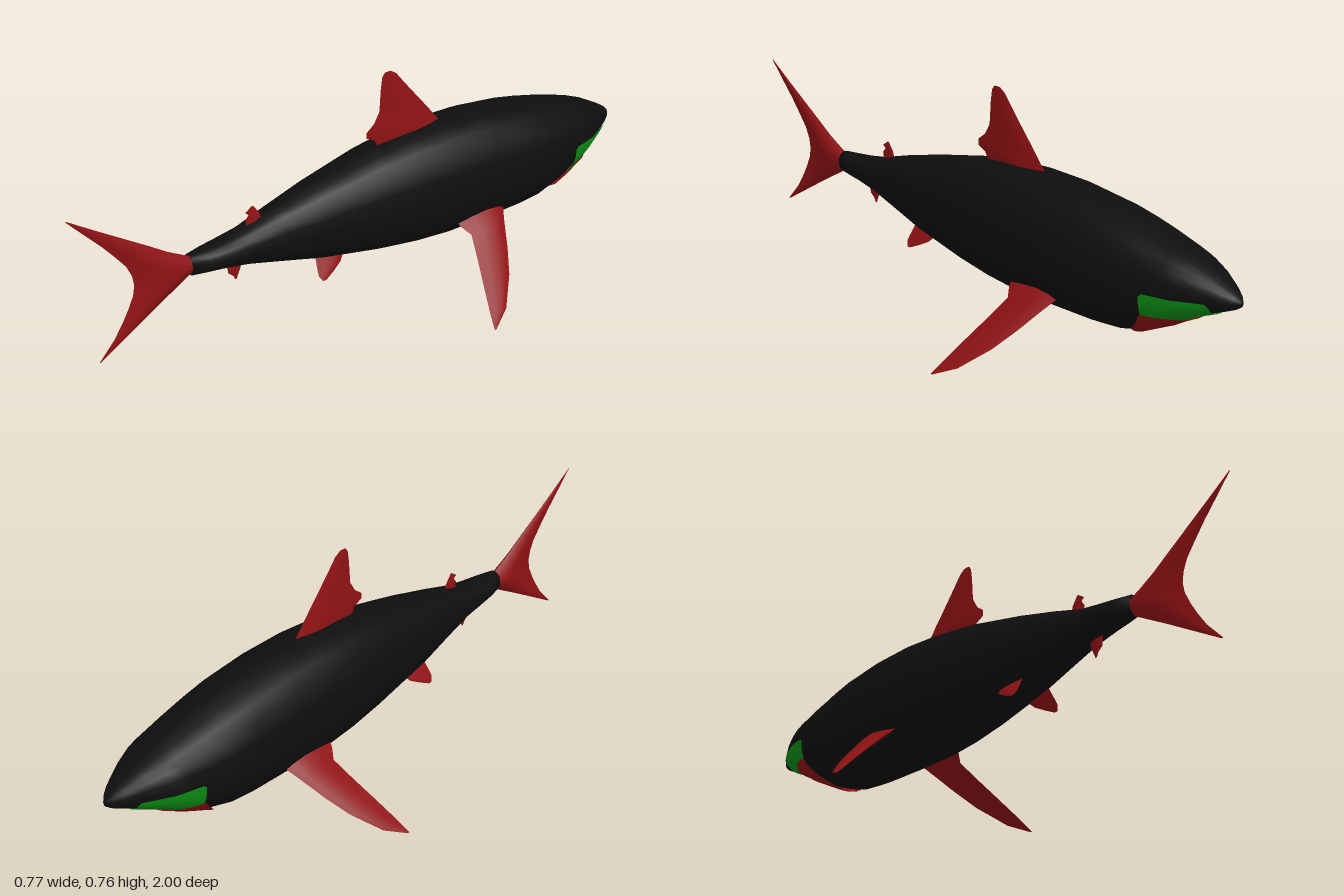
import * as THREE from 'three';
import { toCreasedNormals } from 'three/addons/utils/BufferGeometryUtils.js';

const flat = (name, color, side = THREE.FrontSide) => {
  const m = new THREE.MeshStandardMaterial({ color, side });
  m.name = name;
  return m;
};

// Closed skin over a list of equal rings of [x, y, z], capped at both ends
function loft(rings, crease) {
  const n = rings[0].length, pos = rings.flat(2), idx = [];
  const count = rings.length;
  for (const ring of [rings[0], rings[count - 1]]) {
    for (let a = 0; a < 3; a++) pos.push(ring.reduce((sum, p) => sum + p[a], 0) / n);
  }
  for (let j = 0; j < n; j++) {
    const k = (j + 1) % n;
    for (let i = 0; i < count - 1; i++) {
      const a = i * n + j, b = i * n + k;
      idx.push(a, b, b + n, a, b + n, a + n);
    }
    const end = (count - 1) * n;
    idx.push(count * n, k, j, count * n + 1, end + j, end + k);
  }
  // Signed volume decides the winding, so mirrored parts face outward too
  const v = i => new THREE.Vector3().fromArray(pos, i * 3);
  let volume = 0;
  for (let i = 0; i < idx.length; i += 3) volume += v(idx[i]).dot(v(idx[i + 1]).cross(v(idx[i + 2])));
  if (volume < 0) idx.reverse();
  const g = new THREE.BufferGeometry();
  g.setAttribute('position', new THREE.Float32BufferAttribute(pos, 3));
  g.setIndex(idx);
  if (crease) return toCreasedNormals(g, crease);
  g.computeVertexNormals();
  return g;
}

// Body stations: z, half width, top, bottom
const STATIONS = [
  [-0.999, 0.008, 0.364, 0.346], [-0.985, 0.024, 0.377, 0.336], [-0.96, 0.043, 0.393, 0.325],
  [-0.9, 0.077, 0.425, 0.3], [-0.84, 0.105, 0.448, 0.27], [-0.8, 0.116, 0.46, 0.245],
  [-0.7, 0.135, 0.488, 0.195], [-0.63, 0.144, 0.505, 0.174], [-0.55, 0.15, 0.521, 0.167],
  [-0.4, 0.151, 0.54, 0.163], [-0.25, 0.149, 0.544, 0.163], [-0.13, 0.14, 0.537, 0.172],
  [0, 0.125, 0.52, 0.19], [0.2, 0.099, 0.476, 0.23], [0.34, 0.073, 0.44, 0.267],
  [0.45, 0.055, 0.407, 0.297], [0.52, 0.051, 0.395, 0.312], [0.58, 0.042, 0.389, 0.318],
  [0.63, 0.026, 0.386, 0.32],
];
const POWER = 0.87;
const soft = v => Math.sign(v) * Math.abs(v) ** POWER;

// Width, centre height and half height of the body at any z
function section(z) {
  let i = 0;
  while (i < STATIONS.length - 2 && STATIONS[i + 1][0] < z) i++;
  const a = STATIONS[i], b = STATIONS[i + 1], t = (z - a[0]) / (b[0] - a[0]);
  const [w, top, bottom] = [1, 2, 3].map(k => a[k] + (b[k] - a[k]) * t);
  return { w, c: (top + bottom) / 2, h: (top - bottom) / 2 };
}

// Point on the body skin; angle 0 is the belly line
function skin(z, angle, lift = 0) {
  const { w, c, h } = section(z);
  return [(w + lift) * soft(Math.sin(angle)), c - (h + lift) * soft(Math.cos(angle)), z];
}

function bodyGeometry() {
  return loft(STATIONS.map(([z]) => Array.from({ length: 20 }, (_, j) => skin(z, j * Math.PI / 10))));
}

// Thin patch hugging the belly; rows give z and the height it climbs to
function patchGeometry(rows, lift) {
  const seg = 20, pos = [], idx = [];
  for (const [z, limit] of rows) {
    const { c, h } = section(z);
    const reach = Math.acos(Math.min(1, Math.max(0, (c - limit) / h)) ** (1 / POWER));
    for (let j = 0; j <= seg; j++) pos.push(...skin(z, reach * (2 * j / seg - 1), lift));
  }
  for (let i = 0; i < rows.length - 1; i++) {
    for (let j = 0; j < seg; j++) {
      const a = i * (seg + 1) + j, b = a + seg + 1;
      idx.push(a, a + 1, b + 1, a, b + 1, b);
    }
  }
  const g = new THREE.BufferGeometry();
  g.setAttribute('position', new THREE.Float32BufferAttribute(pos, 3));
  g.setIndex(idx);
  g.computeVertexNormals();
  return g;
}

// Lens-shaped fin; rows: span, leading z, trailing z, half thickness
const LENS = [[0, 0], [0.15, 0.65], [0.4, 1], [0.7, 0.6], [1, 0], [0.7, -0.6], [0.4, -1], [0.15, -0.65]];
function finGeometry(rows, place) {
  return loft(rows.map(([s, lead, trail, t]) =>
    LENS.map(([f, k]) => place(s, lead + (trail - lead) * f, t * k))), 0.7);
}
const upright = (s, z, t) => [t, s, z];
// Fin leaning outward and down from a root point, on either side
const slanted = (side, x, y, dx, dy) => (s, z, t) => [side * (x + dx * s - dy * t), y + dy * s + dx * t, z];

const DORSAL = [
  [0.5, -0.31, -0.05, 0.013], [0.545, -0.275, -0.03, 0.012], [0.56, -0.262, 0, 0.011],
  [0.578, -0.247, 0, 0.01], [0.6, -0.23, -0.028, 0.009], [0.635, -0.2, -0.048, 0.008],
  [0.71, -0.138, -0.053, 0.004], [0.745, -0.11, -0.058, 0.002], [0.758, -0.09, -0.068, 0.0008],
];
const TAIL = [
  [0.142, 0.932, 0.938, 0.0005], [0.2, 0.835, 0.885, 0.004], [0.245, 0.76, 0.855, 0.009],
  [0.28, 0.7, 0.835, 0.014], [0.32, 0.63, 0.816, 0.021], [0.352, 0.56, 0.81, 0.025],
  [0.385, 0.635, 0.815, 0.021], [0.42, 0.697, 0.83, 0.016], [0.46, 0.755, 0.86, 0.012],
  [0.51, 0.83, 0.9, 0.007], [0.56, 0.905, 0.945, 0.004], [0.622, 0.996, 1, 0.0005],
];
const SECOND_DORSAL = [
  [0.39, 0.36, 0.43, 0.005], [0.43, 0.385, 0.437, 0.004], [0.445, 0.39, 0.425, 0.003],
  [0.455, 0.398, 0.436, 0.002], [0.47, 0.408, 0.414, 0.0006],
];
const ANAL = [
  [0.33, 0.44, 0.5, 0.005], [0.295, 0.455, 0.505, 0.004], [0.275, 0.462, 0.502, 0.003],
  [0.262, 0.468, 0.486, 0.002], [0.248, 0.474, 0.48, 0.0006],
];
const PECTORAL = [
  [-0.04, -0.47, -0.27, 0.017], [0.02, -0.45, -0.262, 0.017], [0.045, -0.44, -0.267, 0.016],
  [0.08, -0.423, -0.288, 0.014], [0.16, -0.387, -0.265, 0.011], [0.24, -0.345, -0.24, 0.008],
  [0.333, -0.275, -0.212, 0.004], [0.38, -0.207, -0.2, 0.0008],
];
const PELVIC = [
  [-0.04, 0.1, 0.23, 0.006], [0, 0.125, 0.23, 0.005], [0.03, 0.15, 0.235, 0.004],
  [0.05, 0.183, 0.237, 0.003], [0.067, 0.215, 0.228, 0.0008],
];

export function createModel() {
  const black = flat('black skin', 0x0e0e0e);
  const red = flat('dark red fins', 0x8f1214);
  const redPatch = flat('dark red jaw', 0x8f1214, THREE.DoubleSide);
  redPatch.color.copy(red.color);
  const green = flat('green mouth', 0x0c8c14, THREE.DoubleSide);
  const model = new THREE.Group();
  model.name = 'shark';
  const add = (name, geometry, material) => {
    const mesh = new THREE.Mesh(geometry, material);
    mesh.name = name;
    model.add(mesh);
  };

  add('body', bodyGeometry(), black);

  // Mouth band around the snout, with the lower jaw laid over it
  add('mouthBand', patchGeometry([[-0.935, 0.34], [-0.925, 0.352], [-0.9, 0.352], [-0.84, 0.35],
    [-0.8, 0.35], [-0.76, 0.35], [-0.75, 0.34]], 0.004), green);
  add('lowerJaw', patchGeometry([[-0.87, 0.286], [-0.855, 0.288], [-0.84, 0.288], [-0.8, 0.288],
    [-0.75, 0.286], [-0.73, 0.255], [-0.7, 0.222], [-0.67, 0.19]], 0.008), redPatch);

  // Fins on the centre line
  add('dorsalFin', finGeometry(DORSAL, upright), red);
  add('secondDorsalFin', finGeometry(SECOND_DORSAL, upright), red);
  add('analFin', finGeometry(ANAL, upright), red);
  add('tailFin', finGeometry(TAIL, upright), red);

  // Paired fins
  for (const [side, label] of [[1, 'left'], [-1, 'right']]) {
    add(label + 'PectoralFin', finGeometry(PECTORAL, slanted(side, 0.1, 0.253, 0.748, -0.663)), red);
    add(label + 'PelvicFin', finGeometry(PELVIC, slanted(side, 0.055, 0.248, 0.5, -0.866)), red);
  }
  return model;
}
